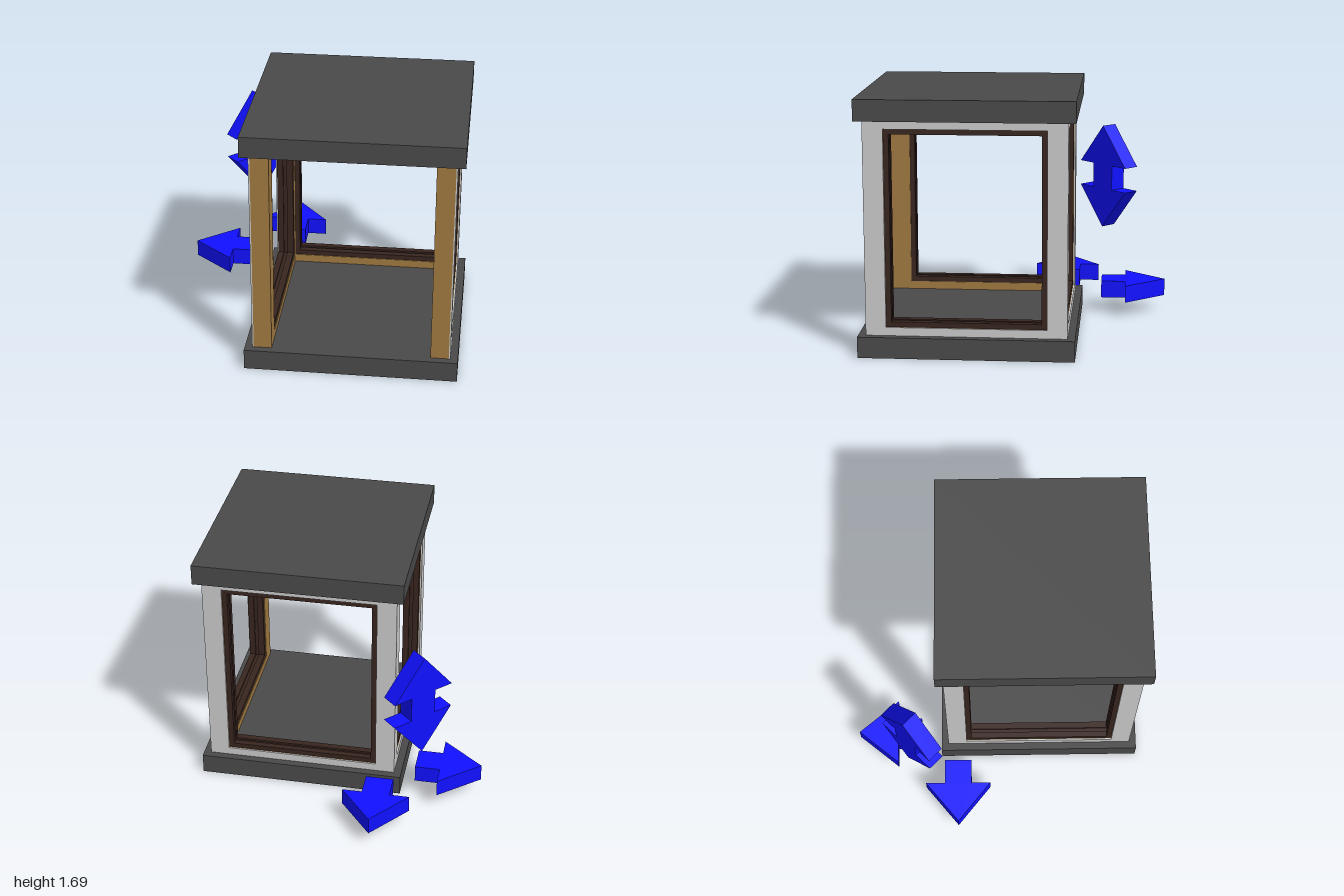
import * as THREE from 'three';

const paint = (color) => new THREE.MeshStandardMaterial({ color, flatShading: true });
const SLAB = paint(0x4a4a4a), WOOD = paint(0xa07a42), FRAME = paint(0x38251f);
const GREY = paint(0xcccccc), BLUE = paint(0x1010ff);

// Room centre in plan, and heights of wall and window opening
const CX = 0.275, CZ = 0.295;
const WALL = { y0: 0.14, y1: 1.55 }, HOLE = { h: 0.5225, y0: 0.195, y1: 1.495 };

const rect = (Type, x0, x1, y0, y1) => new Type([
  [x0, y0], [x1, y0], [x1, y1], [x0, y1],
].map(([x, y]) => new THREE.Vector2(x, y)));

// Flat panel with a rectangular opening; inset shrinks the opening
function panel(name, mat, [x0, x1, y0, y1], inset, z0, z1) {
  const shape = rect(THREE.Shape, x0, x1, y0, y1);
  shape.holes.push(rect(THREE.Path, -HOLE.h + inset, HOLE.h - inset, HOLE.y0 + inset, HOLE.y1 - inset));
  const geo = new THREE.ExtrudeGeometry(shape, { depth: z1 - z0, bevelEnabled: false });
  const mesh = new THREE.Mesh(geo.translate(0, 0, z0), mat);
  mesh.name = name;
  return mesh;
}

// One wall with its outside towards local +z: wooden core, grey cladding, window frame
function wall(name, angle, coreX0, coreX1) {
  const g = new THREE.Group();
  g.name = name;
  const { y0, y1 } = WALL;
  g.add(panel('wallCore', WOOD, [coreX0, coreX1, y0, y1], 0, 0.525, 0.645));
  g.add(panel('cladding', GREY, [-0.655, 0.655, y0, y1], 0, 0.645, 0.655));
  // Frame of two full rails with a shallow groove between them
  const edge = [-HOLE.h, HOLE.h, HOLE.y0, HOLE.y1];
  [[0.035, 0.53, 0.575], [0.022, 0.575, 0.6], [0.035, 0.6, 0.642]].forEach(([inset, a, b]) =>
    g.add(panel('windowFrame', FRAME, edge, inset, a, b)));
  g.position.set(CX, 0, CZ);
  g.rotation.y = angle;
  return g;
}

// Arrow outlines in the xy plane, extruded evenly about z = 0
const HEAD = 0.23, SHAFT = 0.095, THICK = 0.12;
function arrow(name, points) {
  const shape = new THREE.Shape(points.map(([x, y]) => new THREE.Vector2(x, y)));
  const geo = new THREE.ExtrudeGeometry(shape, { depth: THICK, bevelEnabled: false });
  const mesh = new THREE.Mesh(geo.translate(0, 0, -THICK / 2), BLUE);
  mesh.name = name;
  return mesh;
}
const SINGLE = [[-SHAFT, -0.45], [SHAFT, -0.45], [SHAFT, -0.28], [HEAD, -0.28], [0, 0], [-HEAD, -0.28], [-SHAFT, -0.28]];
const DOUBLE = [
  [0, -0.37], [HEAD, -0.088], [SHAFT + 0.015, -0.088], [SHAFT + 0.015, 0.088], [HEAD, 0.088],
  [0, 0.37], [-HEAD, 0.088], [-SHAFT - 0.015, 0.088], [-SHAFT - 0.015, -0.088], [-HEAD, -0.088],
].map(([x, y]) => [Math.abs(x) < 0.12 ? Math.sign(x) * SHAFT : x, y]);

export function createModel() {
  const model = new THREE.Group();
  model.name = 'windowedCube';

  // Floor and roof slabs
  [['floorSlab', 0.07], ['roofSlab', 1.62]].forEach(([name, y]) => {
    const slab = new THREE.Mesh(new THREE.BoxGeometry(1.41, 0.14, 1.41), SLAB);
    slab.name = name;
    slab.position.set(CX, y, CZ);
    model.add(slab);
  });

  // Three windowed walls; the front stays open between the side wall ends
  model.add(wall('backWall', Math.PI, -0.645, 0.645));
  model.add(wall('leftWall', Math.PI / 2, -0.655, 0.645));
  model.add(wall('rightWall', -Math.PI / 2, -0.645, 0.655));

  // Direction arrows outside the back corner
  const back = arrow('backArrow', SINGLE);
  back.rotation.x = -Math.PI / 2;
  back.position.set(-0.31, 0.17, -1);
  const side = arrow('sideArrow', SINGLE);
  side.rotation.set(-Math.PI / 2, Math.PI / 2, 0, 'YXZ');
  side.position.set(-0.98, 0.17, -0.29);
  const upDown = arrow('upDownArrow', DOUBLE);
  upDown.rotation.y = Math.PI / 4;
  upDown.position.set(-0.5625, 0.93, -0.5875);
  model.add(back, side, upDown);

  return model;
}
